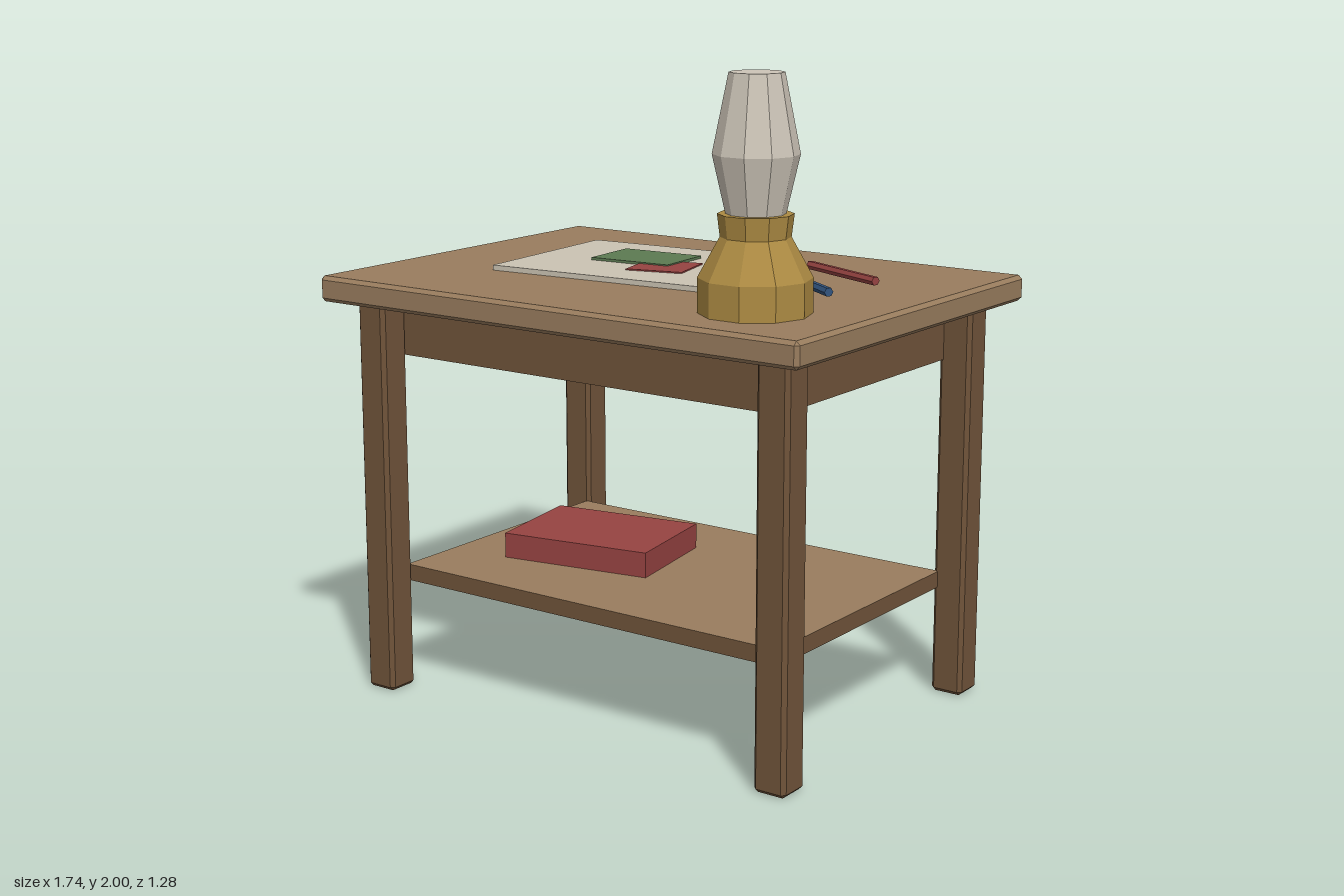
import * as THREE from 'three';
import { ConvexGeometry } from 'three/addons/geometries/ConvexGeometry.js';

const makeMat = (name, color) => {
  const m = new THREE.MeshStandardMaterial({ color, flatShading: true });
  m.name = name;
  return m;
};

// Box with evenly chamfered edges
function chamferBox(w, h, d, c) {
  const pts = [];
  for (const sx of [-1, 1]) for (const sy of [-1, 1]) for (const sz of [-1, 1]) {
    const x = w / 2, y = h / 2, z = d / 2;
    pts.push(new THREE.Vector3(sx * x, sy * (y - c), sz * (z - c)));
    pts.push(new THREE.Vector3(sx * (x - c), sy * y, sz * (z - c)));
    pts.push(new THREE.Vector3(sx * (x - c), sy * (y - c), sz * z));
  }
  return new ConvexGeometry(pts);
}

export function createModel() {
  const group = new THREE.Group();
  group.name = 'sideTable';
  const lightWood = makeMat('lightWood', 0x997d5e);
  const darkWood = makeMat('darkWood', 0x70543a);
  const paper = makeMat('paper', 0xcbc3b3);
  const green = makeMat('green', 0x5c7a52);
  const red = makeMat('red', 0x964341);
  const blue = makeMat('blue', 0x32547e);
  const brass = makeMat('brass', 0xad8b43);
  const shade = makeMat('lampShade', 0xcdc5b8);

  const add = (name, geo, mat, x, y, z, ry = 0) => {
    const m = new THREE.Mesh(geo, mat);
    m.name = name;
    m.position.set(x, y, z);
    m.rotation.y = ry;
    group.add(m);
    return m;
  };
  const box = (w, h, d) => new THREE.BoxGeometry(w, h, d);

  // Table
  add('tableTop', chamferBox(1.74, 0.08, 1.28, 0.012), lightWood, 0, 1.29, 0);
  add('apron', box(1.4, 0.175, 0.92), darkWood, 0, 1.1625, 0);
  const legGeo = chamferBox(0.107, 1.25, 0.107, 0.012);
  for (const sx of [-1, 1]) for (const sz of [-1, 1]) {
    add(`${sz > 0 ? 'front' : 'back'}${sx > 0 ? 'Left' : 'Right'}Leg`, legGeo, darkWood, sx * 0.738, 0.625, sz * 0.507);
  }

  // Shelf with a lighter upper face
  add('shelf', box(1.4, 0.052, 0.92),
    [darkWood, darkWood, lightWood, darkWood, darkWood, darkWood], 0, 0.37, 0);
  add('book', box(0.502, 0.08, 0.365), red, -0.28, 0.436, 0, 0.17);

  // Paper sheet with two coloured cards
  add('paperSheet', box(0.78, 0.016, 0.59), paper, -0.14, 1.338, -0.075, 0.08);
  add('redCard', box(0.183, 0.004, 0.183), red, -0.049, 1.348, -0.028, 0.255);
  add('greenCard', box(0.28, 0.008, 0.205), green, -0.186, 1.35, -0.12, 0.08);

  // Pencils lying on the top
  const pencilGeo = new THREE.CylinderGeometry(0.014, 0.014, 0.34, 6).rotateZ(Math.PI / 2);
  add('redPencil', pencilGeo, red, 0.48, 1.356, -0.212, -0.4);
  add('bluePencil', pencilGeo, blue, 0.48, 1.356, -0.005, -0.59);
  add('brassPencil', pencilGeo, brass, 0.41, 1.356, 0.22, -0.58);

  // Ten-sided lamp, stacked from tapered rings: [name, bottom radius, top radius, y0, y1]
  const rings = [
    ['lampFoot', 0.163, 0.163, 1.33, 1.43, brass],
    ['lampShoulder', 0.163, 0.1, 1.43, 1.545, brass],
    ['lampCollar', 0.1, 0.108, 1.545, 1.61, brass],
    ['shadeLower', 0.085, 0.123, 1.61, 1.775, shade],
    ['shadeUpper', 0.123, 0.078, 1.775, 2, shade],
  ];
  for (const [name, r0, r1, y0, y1, mat] of rings) {
    add(name, new THREE.CylinderGeometry(r1, r0, y1 - y0, 10), mat, 0.549, (y0 + y1) / 2, 0.362, Math.PI / 10);
  }
  return group;
}
